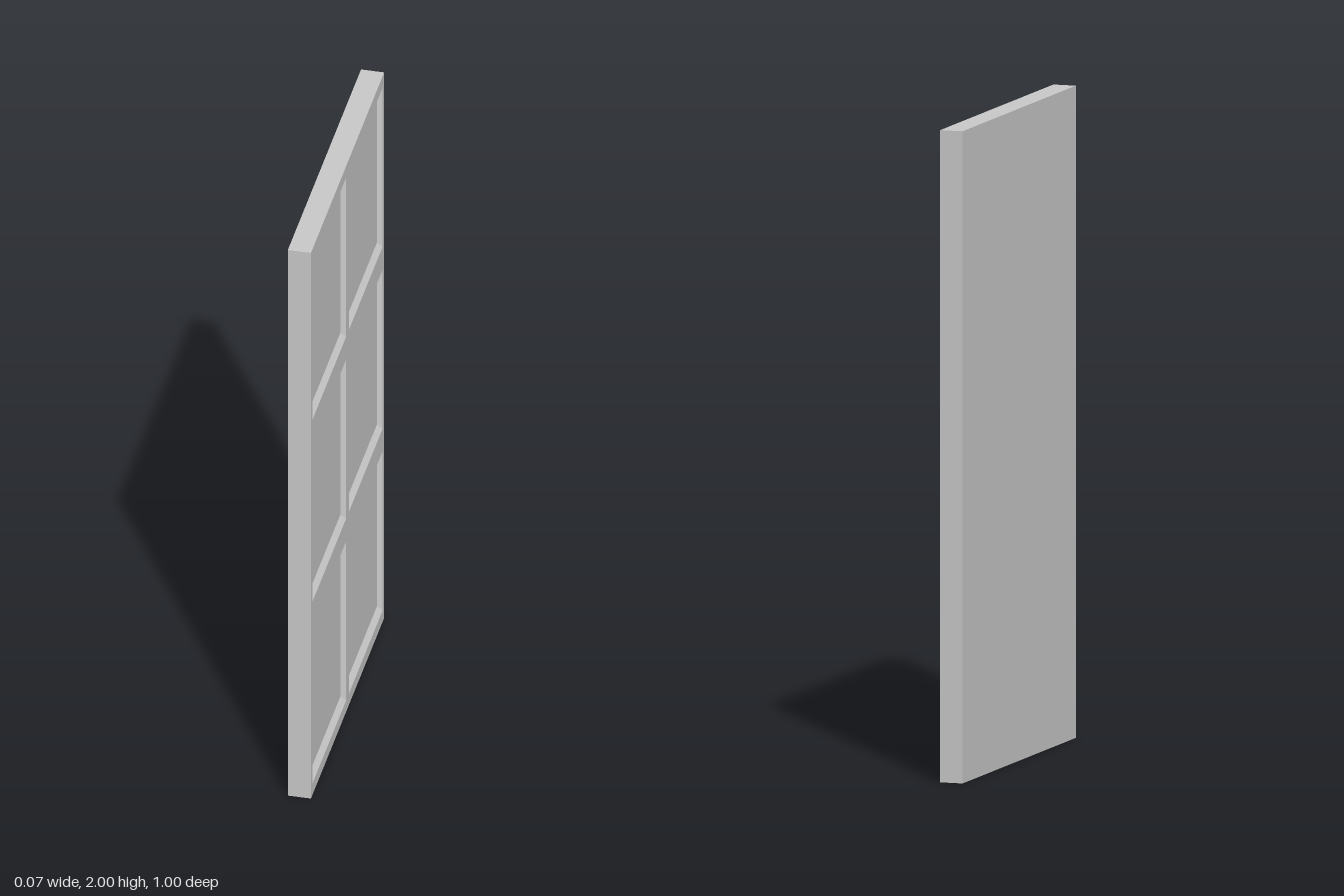
import * as THREE from 'three';

const W = 1, H = 2, T = 0.072;         // width, height, thickness of the door
const COLS = 2, ROWS = 3;
const MARGIN = [W / 48, H / 48];       // cell edge to recess opening
const BEVEL = [W / 96, H / 96];        // opening to sunken panel
const DEPTH = 0.015;

const material = new THREE.MeshStandardMaterial({ color: 0xcccccc, flatShading: true });

function mesh(name, geometry) {
  const m = new THREE.Mesh(geometry, material);
  m.name = name;
  return m;
}

// Counter-clockwise corners of a rectangle given by its centre and half sizes
function corners(cx, cy, hw, hh) {
  return [[-1, -1], [1, -1], [1, 1], [-1, 1]].map(([sx, sy]) => [cx + sx * hw, cy + sy * hh]);
}

// Four mitred slopes running from the opening down to the sunken panel
function bevelGeometry(outer, inner, zTop, zLow) {
  const pos = [];
  for (let i = 0; i < 4; i++) {
    const j = (i + 1) % 4;
    const a = [...outer[i], zTop], b = [...outer[j], zTop];
    const c = [...inner[j], zLow], d = [...inner[i], zLow];
    pos.push(...a, ...b, ...c, ...a, ...c, ...d);
  }
  const g = new THREE.BufferGeometry();
  g.setAttribute('position', new THREE.Float32BufferAttribute(pos, 3));
  g.computeVertexNormals();
  return g;
}

export function createModel() {
  const door = new THREE.Group();
  door.name = 'panelledDoor';

  // Plain back and edges: a box without its +z face
  const box = new THREE.BoxGeometry(W, H, T);
  const index = Array.from(box.index.array);
  index.splice(24, 6);
  box.setIndex(index);
  box.clearGroups();
  box.translate(0, H / 2, 0);
  door.add(mesh('slab', box));

  // Face frame with one opening per cell
  const toVectors = (pts) => pts.map(([x, y]) => new THREE.Vector2(x, y));
  const frame = new THREE.Shape(toVectors(corners(0, H / 2, W / 2, H / 2)));
  const cw = W / COLS, ch = H / ROWS;
  const low = T / 2 - DEPTH;
  for (let r = 0; r < ROWS; r++) {
    for (let c = 0; c < COLS; c++) {
      const cx = -W / 2 + (c + 0.5) * cw, cy = (r + 0.5) * ch;
      const ow = cw / 2 - MARGIN[0], oh = ch / 2 - MARGIN[1];
      const iw = ow - BEVEL[0], ih = oh - BEVEL[1];
      const outer = corners(cx, cy, ow, oh);
      frame.holes.push(new THREE.Path(toVectors(outer).reverse()));

      door.add(mesh('panelBevel', bevelGeometry(outer, corners(cx, cy, iw, ih), T / 2, low)));
      door.add(mesh('sunkenPanel', new THREE.PlaneGeometry(2 * iw, 2 * ih).translate(cx, cy, low)));
    }
  }
  door.add(mesh('faceFrame', new THREE.ShapeGeometry(frame).translate(0, 0, T / 2)));

  // The panelled face looks towards +x
  door.rotation.y = Math.PI / 2;
  const model = new THREE.Group();
  model.name = 'door';
  model.add(door);
  return model;
}
